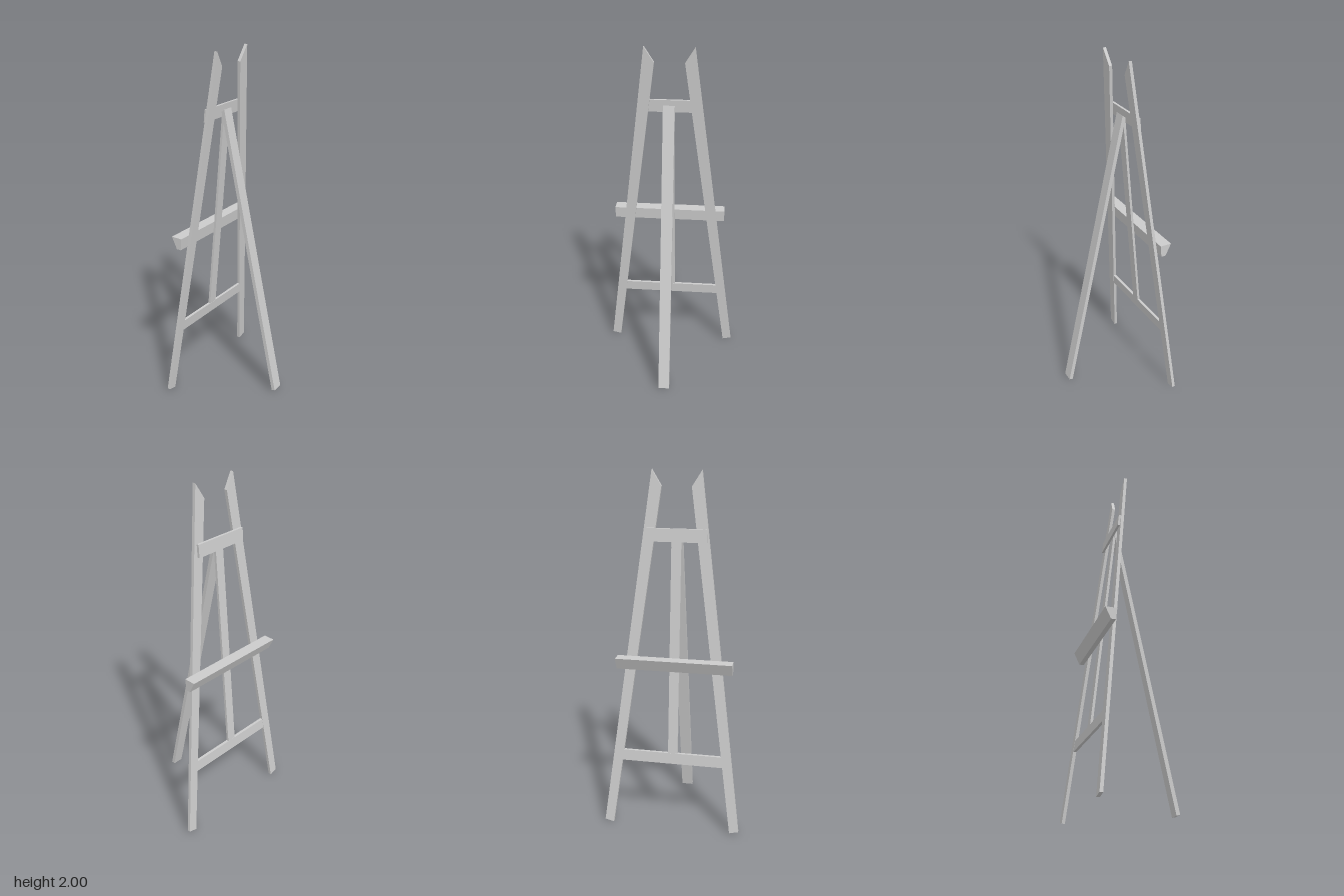
import * as THREE from 'three';

const material = new THREE.MeshStandardMaterial({ color: 0xcccccc, flatShading: true });

// x of the leaning frame's front face at height y
const lean = (y) => -0.27 + 0.0985 * y;

function extrude(points, depth) {
  const shape = new THREE.Shape(points.map(([a, b]) => new THREE.Vector2(a, b)));
  return new THREE.ExtrudeGeometry(shape, { depth, bevelEnabled: false });
}

function addMesh(group, name, geometry) {
  const mesh = new THREE.Mesh(geometry, material);
  mesh.name = name;
  group.add(mesh);
}

// Flat board drawn as [z, y] corners, laid in the leaning plane
function board(points, thickness, offset = 0) {
  const geometry = extrude(points.map(([z, y]) => [-z, y]), thickness);
  geometry.rotateY(Math.PI / 2);
  const p = geometry.attributes.position;
  for (let i = 0; i < p.count; i++) p.setX(i, p.getX(i) + lean(p.getY(i)) + offset);
  geometry.computeVertexNormals();
  return geometry;
}

// Bar with a constant [x, y] section running from z0 to z1
const bar = (points, z0, z1) => extrude(points, z1 - z0).translate(0, 0, z0);

const rect = (z0, z1, y0, y1) => [[z0, y0], [z1, y0], [z1, y1], [z0, y1]];

export function createModel() {
  const easel = new THREE.Group();
  easel.name = 'easel';

  // Two converging front legs with slanted tips
  for (const [name, s] of [['leftFrontLeg', 1], ['rightFrontLeg', -1]]) {
    const corners = [[0.339, 0], [0.39, 0.012], [0.134, 2], [0.081, 1.915]];
    addMesh(easel, name, board(corners.map(([z, y]) => [s * z, y]), 0.018));
  }

  // Cross rails and centre slat
  addMesh(easel, 'upperRail', board(rect(-0.157, 0.17, 1.63, 1.7), 0.0135, -0.0135));
  addMesh(easel, 'lowerRail',
    board([[-0.287, 0.388], [0.287, 0.388], [0.28, 0.45], [-0.28, 0.45]], 0.016, 0.001));
  addMesh(easel, 'centreSlat', board(rect(-0.023, 0.031, 0.44, 1.65), 0.014, 0.002));

  // Canvas ledge with a sloping front
  addMesh(easel, 'ledge',
    bar([[-0.205, 0.932], [-0.178, 0.932], [-0.171, 1], [-0.237, 1]], -0.315, 0.33));

  // Rear prop leg
  addMesh(easel, 'rearLeg',
    bar([[0.248, 0.004], [0.269, 0.009], [-0.086, 1.675], [-0.104, 1.66]], -0.027, 0.037));

  return easel;
}
